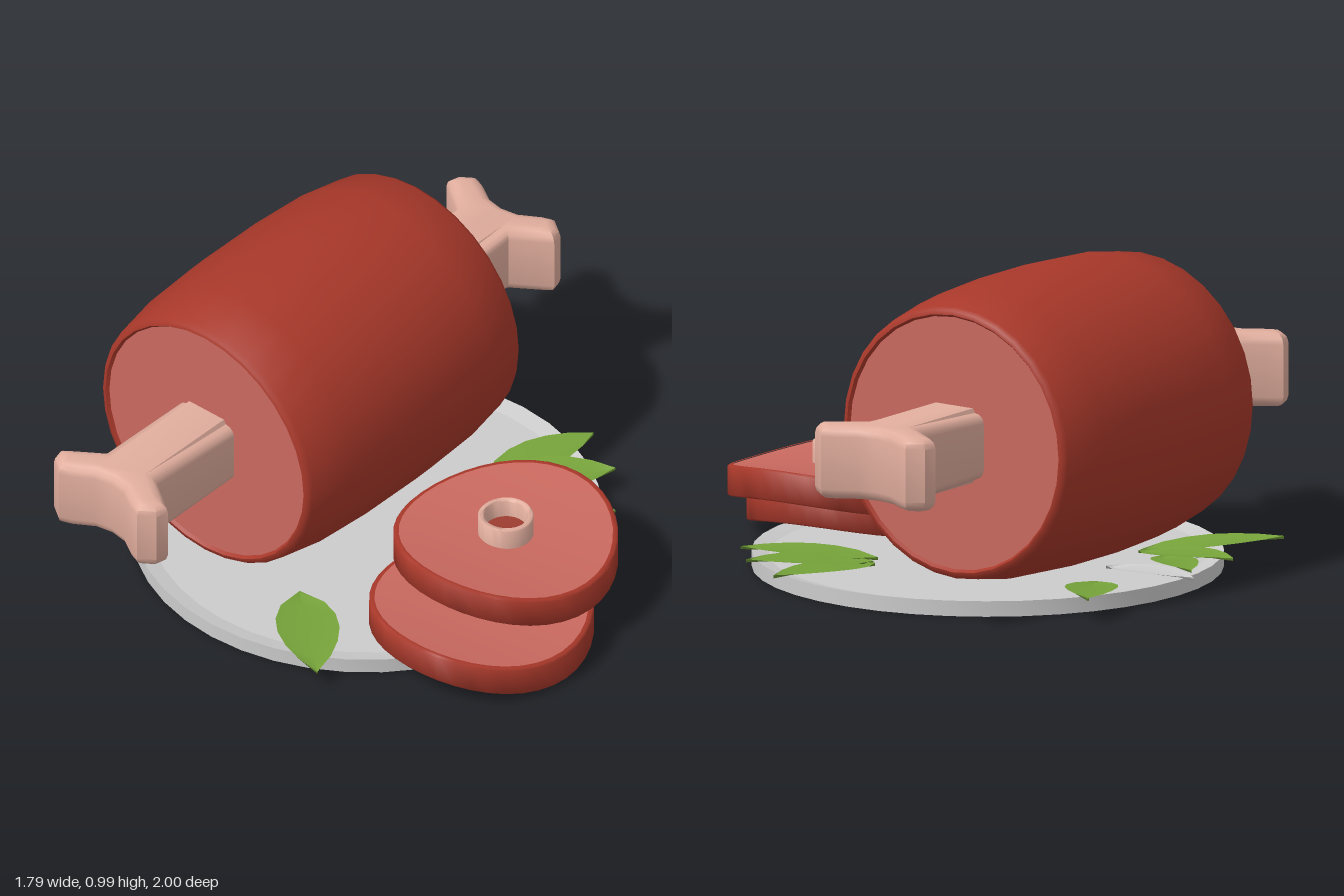
import * as THREE from 'three';
import { toCreasedNormals } from 'three/addons/utils/BufferGeometryUtils.js';

const material = (color) => new THREE.MeshStandardMaterial({ color });
const RED = material(0xa8382a);
const PINK = material(0xc9695f);
const BONE = material(0xe0ad9d);
const MARROW = material(0x9c3c30);
const GREY = material(0xcccccc);
const LEAF = material(0x76a33a);
const GREY_LEAF = material(0xcccccc);
LEAF.side = GREY_LEAF.side = THREE.DoubleSide;

function mesh(name, geometry, mat, x = 0, y = 0, z = 0) {
  const m = new THREE.Mesh(geometry, mat);
  m.name = name;
  m.position.set(x, y, z);
  return m;
}

function lathe(points, segments = 32) {
  return new THREE.LatheGeometry(points.map(([r, y]) => new THREE.Vector2(r, y)), segments);
}

// Move every vertex by a rule
function deform(geometry, rule) {
  const p = geometry.attributes.position;
  const v = new THREE.Vector3();
  for (let i = 0; i < p.count; i++) {
    rule(v.fromBufferAttribute(p, i));
    p.setXYZ(i, v.x, v.y, v.z);
  }
  return geometry;
}

const crease = (g, angle = 0.6) => toCreasedNormals(g, angle);

// Barrel-shaped joint lying along z, with slightly sunken cut faces
function createJoint() {
  const joint = new THREE.Group();
  joint.name = 'meatJoint';
  joint.position.set(-0.337, 0.515, -0.018);
  const half = [[0.405, 0.495], [0.415, 0.508], [0.428, 0.505], [0.438, 0.49], [0.465, 0.33], [0.476, 0.12]];
  const profile = [...half.map(([r, h]) => [r, -h]), ...half.slice().reverse()];
  joint.add(mesh('meatSkin', crease(lathe(profile).rotateX(Math.PI / 2), 0.9), RED));
  for (const side of [1, -1]) {
    const face = new THREE.CircleGeometry(0.41, 32);
    if (side < 0) face.rotateY(Math.PI);
    joint.add(mesh('cutFace', face, PINK, 0, 0, side * 0.498));
  }
  return joint;
}

// Bone with a forked knob at each end: a bevelled outline, mirrored in x and z
function createBone() {
  const quarter = [[0.115, 0.5], [0.108, 0.84], [0.185, 0.893], [0.226, 0.923], [0.215, 0.965],
    [0.165, 1.0], [0.125, 0.985], [0.06, 0.945]];
  const flip = (sx, sz) => quarter.map(([x, z]) => [sx * x, sz * z]);
  const outline = [
    ...flip(1, 1), [0, 0.935], ...flip(-1, 1).reverse(),
    ...flip(-1, -1), [0, -0.935], ...flip(1, -1).reverse(),
  ];
  const bevel = 0.035;
  const geometry = new THREE.ExtrudeGeometry(
    new THREE.Shape(outline.map(([x, z]) => new THREE.Vector2(x, z))),
    { depth: 0.24 - 2 * bevel, bevelSize: bevel, bevelThickness: bevel, bevelOffset: -bevel, bevelSegments: 3 },
  );
  geometry.translate(0, 0, bevel - 0.12).rotateX(-Math.PI / 2);
  // The shaft is a little thinner than the knobs
  deform(geometry, (v) => { if (Math.abs(v.z) < 0.6) v.y *= 0.88; });
  return mesh('bone', crease(geometry, 0.7), BONE, -0.337, 0.517, 0);
}

// Round slice bent into a saddle, tilted down towards +x
function createSlice(name, x, y, z, tilt) {
  const slice = new THREE.Group();
  slice.name = name;
  slice.position.set(x, y, z);
  const saddle = (v) => { v.y += 0.24 * (v.z * v.z - v.x * v.x) - tilt * v.x; };
  const add = (part, points, mat, angle) =>
    slice.add(mesh(part, crease(deform(lathe(points, 40), saddle), angle), mat));
  const radii = [0, 0.09, 0.18, 0.26, 0.342];
  add('sliceRim', [[0.338, -0.05], [0.35, -0.05], [0.355, -0.045], [0.355, 0.045], [0.35, 0.05], [0.338, 0.05]], RED, 0.9);
  add('sliceBottom', radii.map((r) => [r, -0.047]), PINK, 0.9);
  add('sliceTop', radii.slice().reverse().map((r) => [r, 0.047]), PINK, 0.9);
  add('boneRing', [[0.088, 0.02], [0.088, 0.112], [0.084, 0.117], [0.072, 0.117], [0.068, 0.112], [0.068, 0.02]], BONE, 0.9);
  add('marrow', [[0.07, 0.055], [0, 0.055]], MARROW, 0.9);
  return slice;
}

// Pointed leaf from base to tip, with a shallow fold along the midrib
function createLeaf([bx, bz, tx, tz, width, tipY], mat, name) {
  const length = Math.hypot(tx - bx, tz - bz);
  const geometry = new THREE.PlaneGeometry(1, 1, 2, 6).rotateX(Math.PI / 2);
  deform(geometry, (v) => {
    const t = v.z + 0.5;
    const w = width * Math.pow(Math.sin(Math.PI * Math.pow(t, 0.85)), 0.8) || 0;
    const fold = Math.abs(v.x) * 0.02;
    v.set(v.x * w, (tipY - 0.045) * t + 0.008 * Math.sin(Math.PI * t) + fold, t * length);
  });
  geometry.computeVertexNormals();
  const leaf = mesh(name, geometry, mat, bx, 0.045, bz);
  leaf.rotation.y = Math.atan2(tx - bx, tz - bz);
  return leaf;
}

export function createModel() {
  const model = new THREE.Group();
  model.name = 'meatPlatter';

  // Plate with a shallow sloping rim
  const plate = lathe([[0, 0], [0.745, 0], [0.745, 0.05], [0.69, 0.037], [0, 0.037]], 40);
  model.add(mesh('plate', crease(plate, 0.2), GREY, -0.1, 0, -0.018));

  model.add(createJoint(), createBone());
  model.add(createSlice('upperSlice', 0.465, 0.217, -0.035, 0.02));
  model.add(createSlice('lowerSlice', 0.535, 0.098, 0.16, 0.035));

  // Leaves: base x, base z, tip x, tip z, width, tip height
  const leaves = [
    [0.06, -0.4, 0.17, -0.79, 0.16, 0.06],
    [0.08, -0.38, 0.35, -0.69, 0.19, 0.07],
    [0.1, -0.33, 0.49, -0.53, 0.18, 0.065],
    [-0.65, -0.2, -0.85, -0.5, 0.17, 0.07],
    [-0.5, 0.25, -0.84, 0.55, 0.18, 0.08],
    [-0.5, 0.24, -0.9, 0.2, 0.17, 0.08],
    [-0.6, 0.22, -0.87, 0.02, 0.14, 0.07],
    [0, 0.42, 0.33, 0.71, 0.2, 0.06],
  ];
  for (const leaf of leaves) model.add(createLeaf(leaf, LEAF, 'leaf'));
  model.add(createLeaf([-0.55, 0, -0.9, -0.01, 0.13, 0.055], GREY_LEAF, 'greyLeaf'));

  return model;
}
